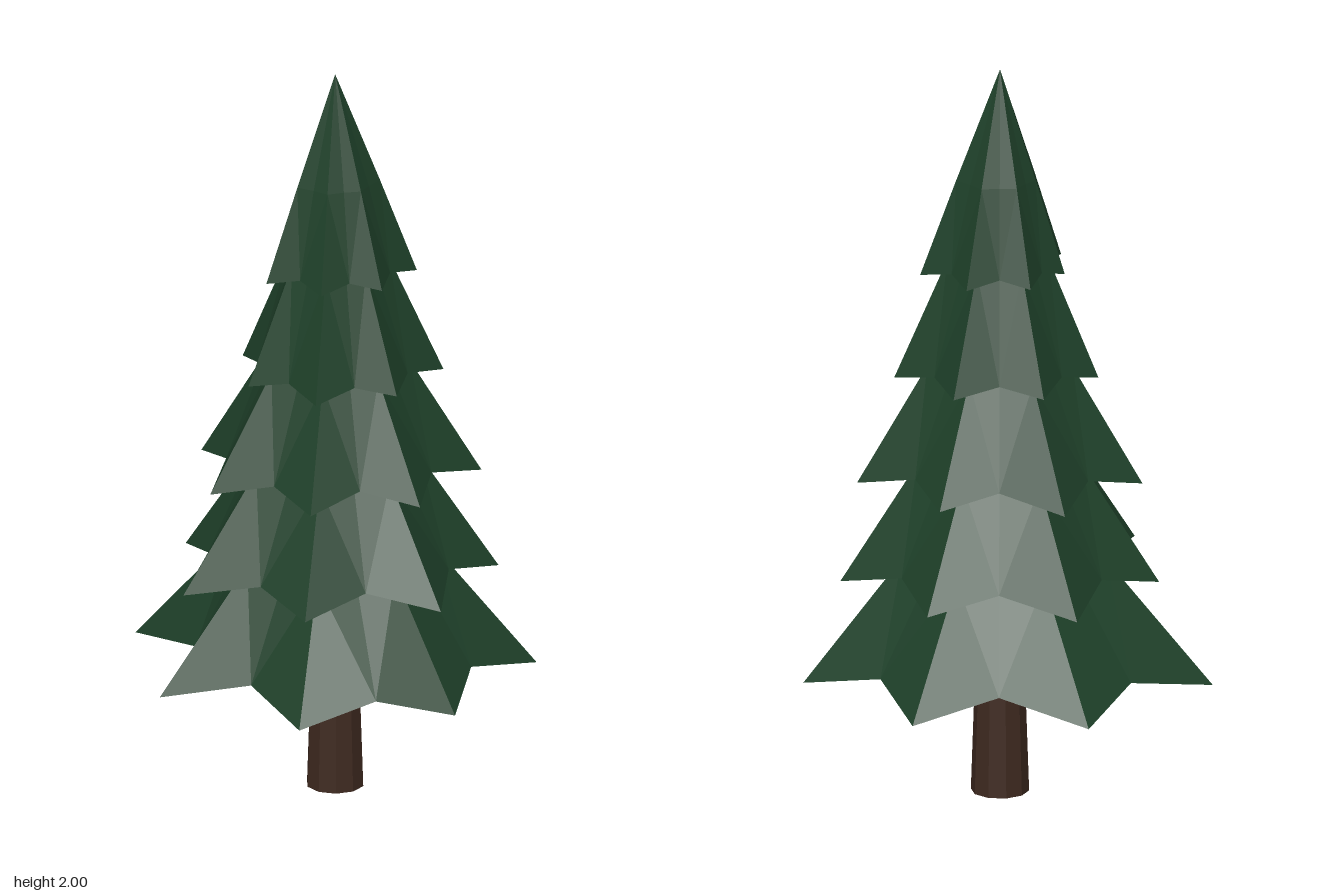
import * as THREE from 'three';

const POINTS = 7;
const CENTRE = new THREE.Vector3(-0.01, 0, 0.025);

// Each tier: tip height, valley lift, tip radii, valley factor(s), top ring height and scale, apex height
const TIERS = [
  { y: 0.335, lift: 0.055, tips: [0.53, 0.487, 0.49, 0.52, 0.575, 0.546, 0.522],
    valley: [0.77, 0.87, 0.73, 0.67, 0.79, 0.75, 0.76], topY: 0.66, topScale: 0.5, apex: 0.75 },
  { y: 0.61, lift: 0.045, tips: [0.43, 0.43, 0.41, 0.45, 0.43, 0.475, 0.435],
    valley: 0.76, topY: 0.92, topScale: 0.52, apex: 1.02 },
  { y: 0.88, lift: 0.04, tips: [0.385, 0.345, 0.335, 0.37, 0.385, 0.4, 0.36],
    valley: 0.76, topY: 1.19, topScale: 0.51, apex: 1.3 },
  { y: 1.165, lift: 0.025, tips: [0.285, 0.25, 0.265, 0.257, 0.266, 0.27, 0.277],
    valley: 0.78, topY: 1.48, topScale: 0.5, apex: 1.6 },
  { y: 1.445, lift: 0.02, tips: [0.215, 0.19, 0.19, 0.204, 0.175, 0.188, 0.2],
    valley: 0.78, topY: 1.7, topScale: 0.55, apex: 2.0 },
];

// Star-shaped skirt: inner underside ring, jagged rim, upper ring, apex
function tierGeometry({ y, lift, tips, valley, topY, topScale, apex }) {
  const n = POINTS * 2;
  const rings = [[], [], []];
  for (let i = 0; i < n; i++) {
    const a = (i / n) * Math.PI * 2;
    const k = i >> 1;
    const isTip = i % 2 === 0;
    const mean = (tips[k] + tips[(k + 1) % POINTS]) / 2;
    const factor = Array.isArray(valley) ? valley[k] : valley;
    const rim = isTip ? tips[k] : mean * factor;
    const top = (isTip ? tips[k] : mean * 0.87) * topScale;
    const at = (r, h) => [Math.cos(a) * r, h, Math.sin(a) * r];
    rings[0].push(at(0.05, y + 0.09));
    rings[1].push(at(rim, isTip ? y : y + lift));
    rings[2].push(at(top, topY));
  }
  const pos = [];
  const tri = (a, b, c) => pos.push(...a, ...b, ...c);
  for (let i = 0; i < n; i++) {
    const j = (i + 1) % n;
    for (let r = 0; r < 2; r++) {
      const [lo, hi] = [rings[r], rings[r + 1]];
      // Split every quad along the ridge side so both halves of a point match
      if (i % 2 === 0) {
        tri(lo[i], hi[i], lo[j]);
        tri(lo[j], hi[i], hi[j]);
      } else {
        tri(lo[i], hi[j], lo[j]);
        tri(lo[i], hi[i], hi[j]);
      }
    }
    tri(rings[2][i], [0, apex, 0], rings[2][j]);
    tri(rings[0][i], rings[0][j], [0, y + 0.09, 0]);
  }
  const g = new THREE.BufferGeometry();
  g.setAttribute('position', new THREE.Float32BufferAttribute(pos, 3));
  g.computeVertexNormals();
  return g;
}

export function createModel() {
  const tree = new THREE.Group();
  tree.name = 'pineTree';
  const needles = new THREE.MeshStandardMaterial({ color: 0x1e4029, flatShading: true });
  const bark = new THREE.MeshStandardMaterial({ color: 0x3f2a20, flatShading: true });

  // Tapered trunk
  const trunk = new THREE.Mesh(new THREE.CylinderGeometry(0.06, 0.077, 0.5, 10), bark);
  trunk.name = 'trunk';
  trunk.position.copy(CENTRE).setY(0.25);
  tree.add(trunk);

  // Stacked foliage tiers
  const foliage = new THREE.Group();
  foliage.name = 'foliage';
  foliage.position.copy(CENTRE);
  TIERS.forEach((tier, i) => {
    const mesh = new THREE.Mesh(tierGeometry(tier), needles);
    mesh.name = `foliageTier${i + 1}`;
    foliage.add(mesh);
  });
  tree.add(foliage);
  return tree;
}
